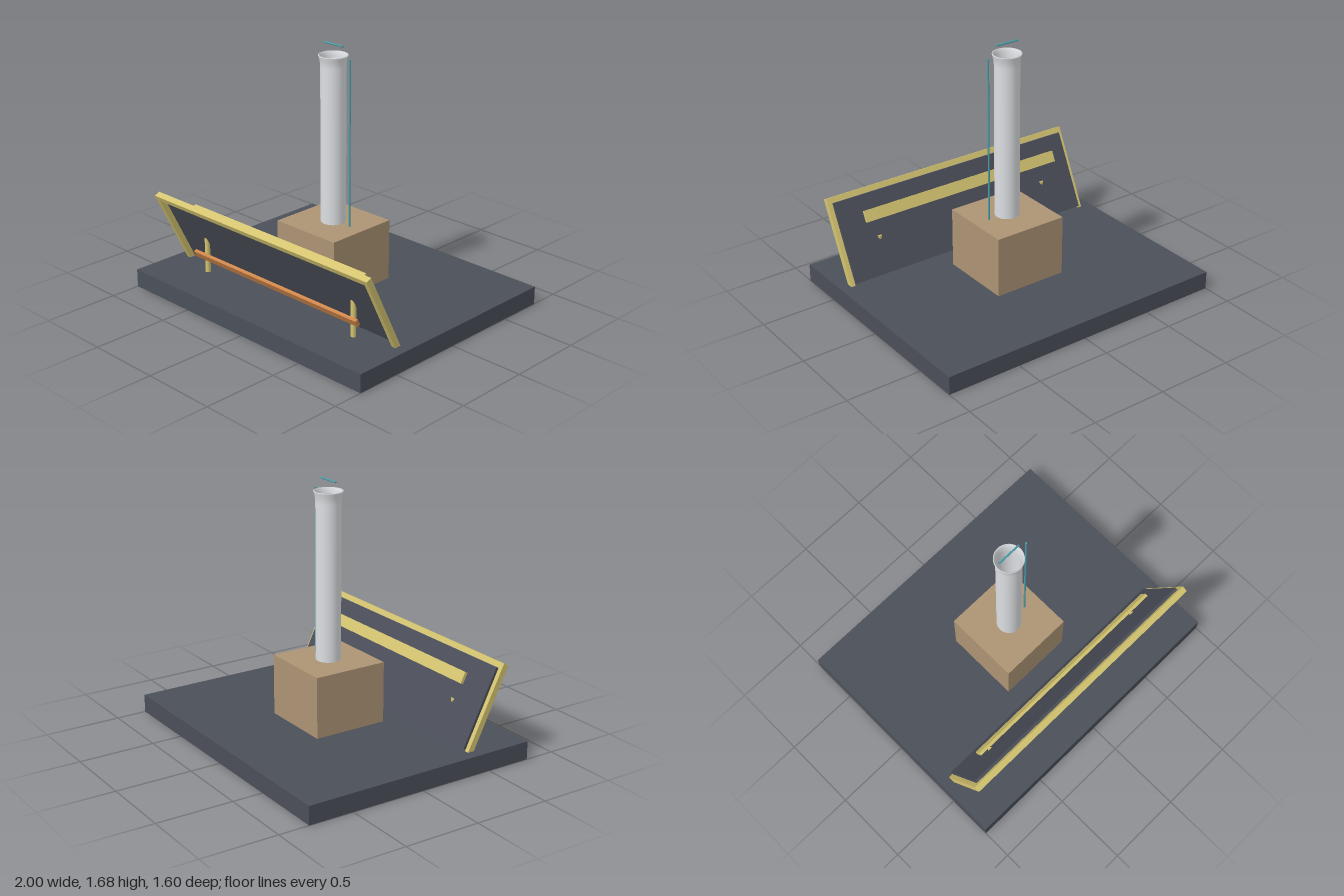
import * as THREE from 'three';

const mat = (color, side = THREE.FrontSide) => new THREE.MeshStandardMaterial({ color, side });

export function createModel() {
  const model = new THREE.Group();
  const slate = mat(0x4b4f59), tan = mat(0xad9474), brass = mat(0xd4c470);
  const copper = mat(0xcc8448), teal = mat(0x4aa0ac), shell = mat(0xdcdfe2, THREE.DoubleSide);

  const add = (parent, name, geometry, material, x, y, z) => {
    const mesh = new THREE.Mesh(geometry, material);
    mesh.name = name;
    mesh.position.set(x, y, z);
    parent.add(mesh);
    return mesh;
  };
  const box = (parent, name, size, material, x, y, z) =>
    add(parent, name, new THREE.BoxGeometry(...size), material, x, y, z);

  // Base slab and the housing block under the tube
  box(model, 'base', [2, 0.12, 1.6], slate, 0, 0.06, 0);
  box(model, 'housing', [0.5, 0.4, 0.5], tan, 0, 0.32, 0);

  // Hollow tube with a flared mouth: up the outside, over the rim, down the inside
  const profile = [
    [0.08, 0.52], [0.08, 1.53], [0.082, 1.555], [0.086, 1.58], [0.092, 1.6], [0.092, 1.605],
    [0.085, 1.605], [0.08, 1.58], [0.076, 1.555], [0.074, 1.53], [0.074, 0.52],
  ].map(([r, y]) => new THREE.Vector2(r, y));
  add(model, 'tube', new THREE.LatheGeometry(profile, 40), shell, 0, 0, 0);

  // Ball floating inside the tube
  add(model, 'ball', new THREE.SphereGeometry(0.07, 32, 20), copper, 0, 1.1, 0);

  // Thin sensor rods beside and above the tube
  add(model, 'sideRod', new THREE.CylinderGeometry(0.006, 0.006, 1.08, 8), teal, 0.14, 1.06, 0);
  const topRod = add(model, 'topRod', new THREE.CylinderGeometry(0.006, 0.006, 0.16, 8), teal, 0, 1.67, 0);
  topRod.rotation.z = Math.PI / 2;

  // Leaning panel: everything in this group shares its tilt
  const panel = new THREE.Group();
  panel.name = 'leaningPanel';
  panel.position.set(0, 0.371, 0.504);
  panel.rotation.x = 0.46;
  model.add(panel);
  box(panel, 'board', [1.8, 0.53, 0.02], slate, 0, 0, 0);
  box(panel, 'topRail', [1.86, 0.036, 0.04], brass, 0, 0.285, 0.028);
  box(panel, 'backStrip', [1.5, 0.075, 0.02], brass, 0, 0.128, -0.081);
  box(panel, 'frontLedge', [1.44, 0.045, 0.022], copper, 0, -0.105, 0.08);

  // Mirrored frame sides and upright posts
  for (const s of [-1, 1]) {
    box(panel, s > 0 ? 'leftRail' : 'rightRail', [0.03, 0.552, 0.04], brass, s * 0.915, -0.009, 0.028);
    add(model, s > 0 ? 'leftPost' : 'rightPost',
      new THREE.CylinderGeometry(0.017, 0.017, 0.24, 20), brass, s * 0.65, 0.24, 0.493);
  }
  return model;
}
